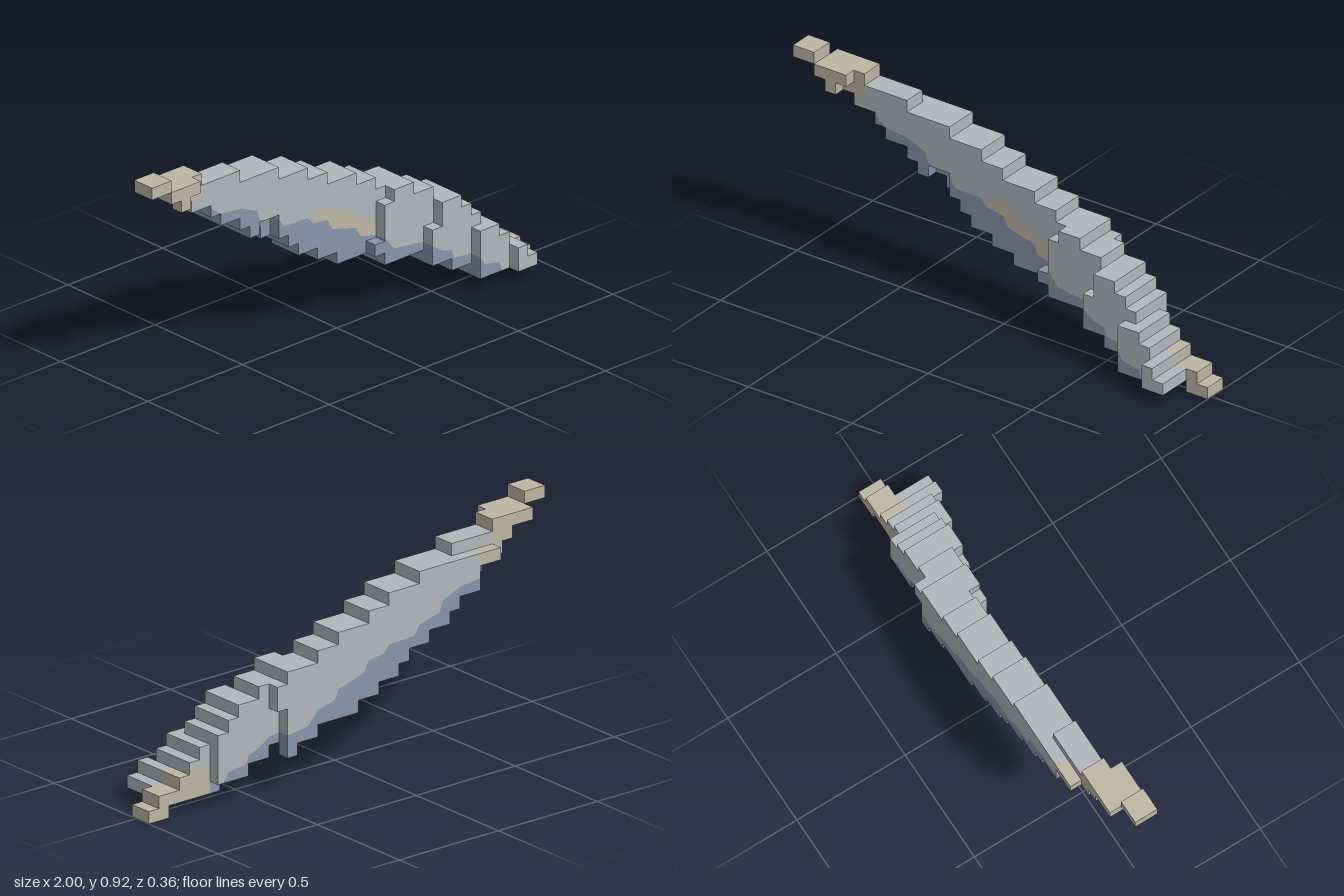
import * as THREE from 'three';

// Stepped body on a cubic grid: 39 columns long, 18 rows high, 7 layers deep.
const NX = 39, NZ = 7, U = 2 / NX;

// [first column, value] runs for the upper and lower staircase
const TOPS = [[0, 18], [2, 17], [6, 16], [10, 15], [14, 14], [17, 13], [19, 12], [22, 11], [24, 10], [27, 9],
  [29, 8], [31, 7], [32, 6], [33, 5], [34, 4], [35, 3], [36, 2], [38, 1]];
const BOTTOMS = [[0, 17], [2, 16], [4, 15], [5, 14], [7, 13], [8, 12], [10, 11], [11, 10], [13, 9], [15, 8],
  [16, 7], [18, 6], [20, 5], [24, 4], [28, 3], [30, 2], [32, 1], [37, 0]];
const step = (runs, i) => runs.reduce((v, r) => (i >= r[0] ? r[1] : v), 0);

// wavy edges of the painted areas, [column, row]
const BELLY = [[7, 13.8], [8, 13], [10, 12.8], [11.9, 12], [12, 11.2], [14, 10.7], [14.5, 9.9], [17, 9.8], [17.5, 9.2],
  [19, 9], [19.5, 8.1], [22, 7.4], [22.3, 6.6], [24, 6.2], [25, 5.1], [28, 4.7], [29, 4], [30, 3.7], [30.2, 3],
  [32, 2.8], [32.5, 2.1], [34, 1.8], [34.1, 1]];
const PATCH = [[17.8, 9.3], [18, 10.1], [19, 10.2], [20, 9.6], [21.2, 9], [22.8, 7.9], [24, 7.3]];
function along(line, x) {
  if (x < line[0][0] || x > line[line.length - 1][0]) return 0;
  for (let n = 1; n < line.length; n++) {
    const [ax, ay] = line[n - 1], [bx, by] = line[n];
    if (x <= bx) return ay + (by - ay) * (x - ax) / (bx - ax);
  }
  return 0;
}

// filled rows [bottom, top] of one column in one layer (layer 0 is the back)
function column(i, k) {
  if (i < 0 || i >= NX || k < 0 || k >= NZ) return null;
  let b = step(BOTTOMS, i), t = step(TOPS, i);
  switch (k) {
    case 0:
      if (i < 6 || i > 27) return null;
      if (i < 8) return [14, 15];
      if (i === 26) b = 3;
      if (i === 27) b = 7;
      t = Math.min(t, 15);
      break;
    case 1:
      if (i < 2 || i > 32) return null;
      b = Math.max(b, 2);
      break;
    case 2:
      if (i === 12 || i === 13) b = 11;
      break;
    case 3:
      if (i === 3) b = 15;
      if (i === 4) b = 16;
      if (i === 23) return [5, 6];
      if (i === 24) t = 9;
      if (i > 4 && i < 23) return null;
      break;
    case 4:
      if (i < 28 || i > 36) return null;
      t = Math.min(t, i === 28 ? 6 : 8);
      break;
    case 5:
      if (i < 32 || i > 36) return null;
      t = Math.min(t, 5);
      break;
    default:
      if (i < 35 || i > 36) return null;
  }
  return [b, t];
}

// paint bands from bottom to top: [colour, upper edge as a function of x]
function bands(i, k, dir) {
  const all = () => 99;
  if (i === 5) return [['grey', () => 15], ['tan', all]];
  if (i < 5 || (k === 0 && i < 8) || i > 36) return [['tan', all]];
  if (i > 34 && (k === 2 || k === 3)) return [['tan', all]];
  if (k === 2 && dir === 'back' && i > 32) return [['tan', () => 3.4], ['grey', all]];
  const list = [['blue', x => along(BELLY, x)]];
  if (k === 2 && dir === 'front') list.push(['tan', x => Math.max(along(BELLY, x), along(PATCH, x))]);
  list.push(['grey', all]);
  return list;
}

// spans of a column not covered by its neighbour
function exposed([b, t], other) {
  if (!other) return [[b, t]];
  return [[b, Math.min(t, other[0])], [Math.max(b, other[1]), t]].filter(s => s[1] > s[0]);
}

export function createModel() {
  const buckets = { grey: [], blue: [], tan: [] };
  const put = (colour, corners, flip) => {
    const c = flip ? [...corners].reverse() : corners;
    for (const n of [0, 1, 2, 0, 2, 3]) {
      const [x, y, z] = c[n];
      buckets[colour].push((x - NX / 2) * U, y * U, (z - NZ / 2) * U);
    }
  };
  const clamp = THREE.MathUtils.clamp;

  for (let k = 0; k < NZ; k++) for (let i = 0; i < NX; i++) {
    const col = column(i, k);
    if (!col) continue;

    // front and back faces, cut into narrow strips along the paint edges
    for (const dir of ['front', 'back']) {
      const front = dir === 'front', z = front ? k + 1 : k;
      for (const [s, e] of exposed(col, column(i, front ? k + 1 : k - 1))) {
        for (let n = 0; n < 4; n++) {
          const x0 = i + n / 4, x1 = x0 + 0.25;
          let l0 = s, l1 = s;
          for (const [colour, edge] of bands(i, k, dir)) {
            const h0 = clamp(edge(x0), l0, e), h1 = clamp(edge(x1), l1, e);
            if (h0 > l0 || h1 > l1) put(colour, [[x0, l0, z], [x1, l1, z], [x1, h1, z], [x0, h0, z]], !front);
            l0 = h0; l1 = h1;
          }
        }
      }
    }

    // end faces of the steps
    for (const d of [1, -1]) {
      const x = d > 0 ? i + 1 : i;
      for (const [s, e] of exposed(col, column(i + d, k))) {
        let l = s;
        for (const [colour, edge] of bands(i, k, 'end')) {
          const h = clamp(edge(x), l, e);
          if (h > l) put(colour, [[x, l, k + 1], [x, l, k], [x, h, k], [x, h, k + 1]], d < 0);
          l = h;
        }
      }
    }

    // treads and undersides
    const at = y => bands(i, k, 'end').find(([, edge]) => y < edge(i + 0.5))[0];
    const flat = y => [[i, y, k + 1], [i + 1, y, k + 1], [i + 1, y, k], [i, y, k]];
    put(at(col[1] - 0.01), flat(col[1]), false);
    put(at(col[0] + 0.01), flat(col[0]), true);
  }

  const parts = {
    grey: ['steppedBody', 0xb2b7ba],
    blue: ['bellyBand', 0x8894aa],
    tan: ['tipsAndPatch', 0xbdb6a4],
  };
  const group = new THREE.Group();
  group.name = 'steppedRidge';
  for (const [colour, [name, hex]] of Object.entries(parts)) {
    const geometry = new THREE.BufferGeometry();
    geometry.setAttribute('position', new THREE.Float32BufferAttribute(buckets[colour], 3));
    geometry.computeVertexNormals();
    const material = new THREE.MeshStandardMaterial({ color: hex });
    material.name = colour;
    const mesh = new THREE.Mesh(geometry, material);
    mesh.name = name;
    group.add(mesh);
  }
  return group;
}
